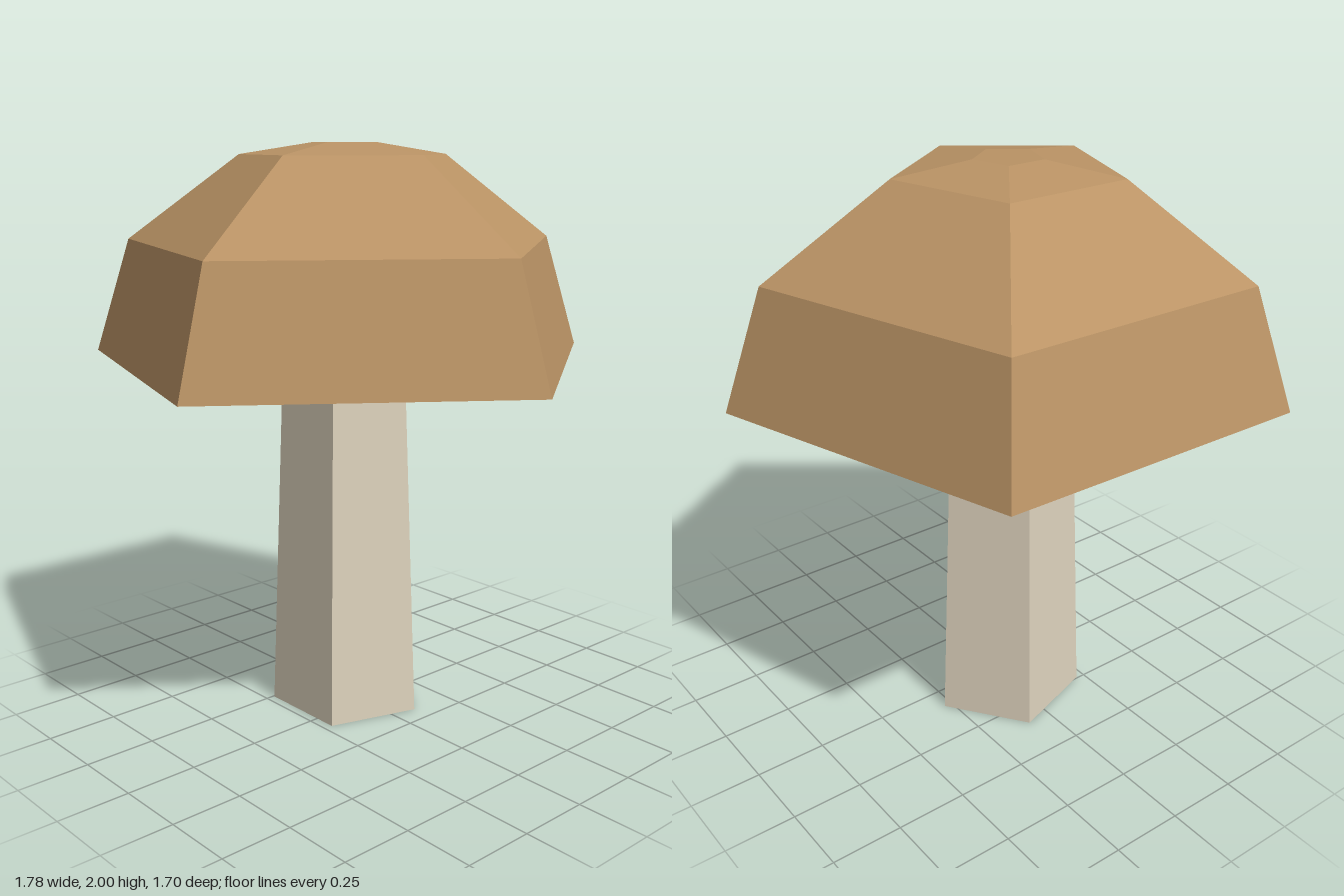
import * as THREE from 'three';

const SIDES = 5;

// Five-sided faceted solid of revolution; profile runs bottom to top as [radius, y]
function facetedLathe(name, profile, start, material) {
  const points = profile.map(([r, y]) => new THREE.Vector2(r, y));
  const geometry = new THREE.LatheGeometry(points, SIDES, start).toNonIndexed();
  geometry.computeVertexNormals();
  const mesh = new THREE.Mesh(geometry, material);
  mesh.name = name;
  return mesh;
}

export function createModel() {
  const capBrown = new THREE.MeshStandardMaterial({ color: 0xba9365 });
  capBrown.name = 'capBrown';
  const gillGrey = new THREE.MeshStandardMaterial({ color: 0xd9d2c0 });
  gillGrey.name = 'gillGrey';
  const stemCream = new THREE.MeshStandardMaterial({ color: 0xded3bd });
  stemCream.name = 'stemCream';

  const model = new THREE.Group();
  model.name = 'mushroom';

  // Cap: domed top and shallow underside, one corner pointing forward
  const cap = new THREE.Group();
  cap.name = 'cap';
  cap.position.set(0.003, 0, -0.089);
  const turn = -0.016;
  cap.add(
    facetedLathe('capTop', [[0.934, 1.26], [0.797, 1.665], [0.378, 1.96], [0.117, 2], [0, 2]], turn, capBrown),
    facetedLathe('capUnderside', [[0, 1.16], [0.287, 1.16], [0.934, 1.26]], turn, gillGrey),
  );

  // Stem: tapers upward into the cap, one corner pointing to +x
  const stem = facetedLathe('stem', [[0, 0], [0.276, 0], [0.229, 1.2], [0, 1.2]], Math.PI / 2, stemCream);
  stem.position.set(0.004, 0, -0.083);

  model.add(cap, stem);
  return model;
}
